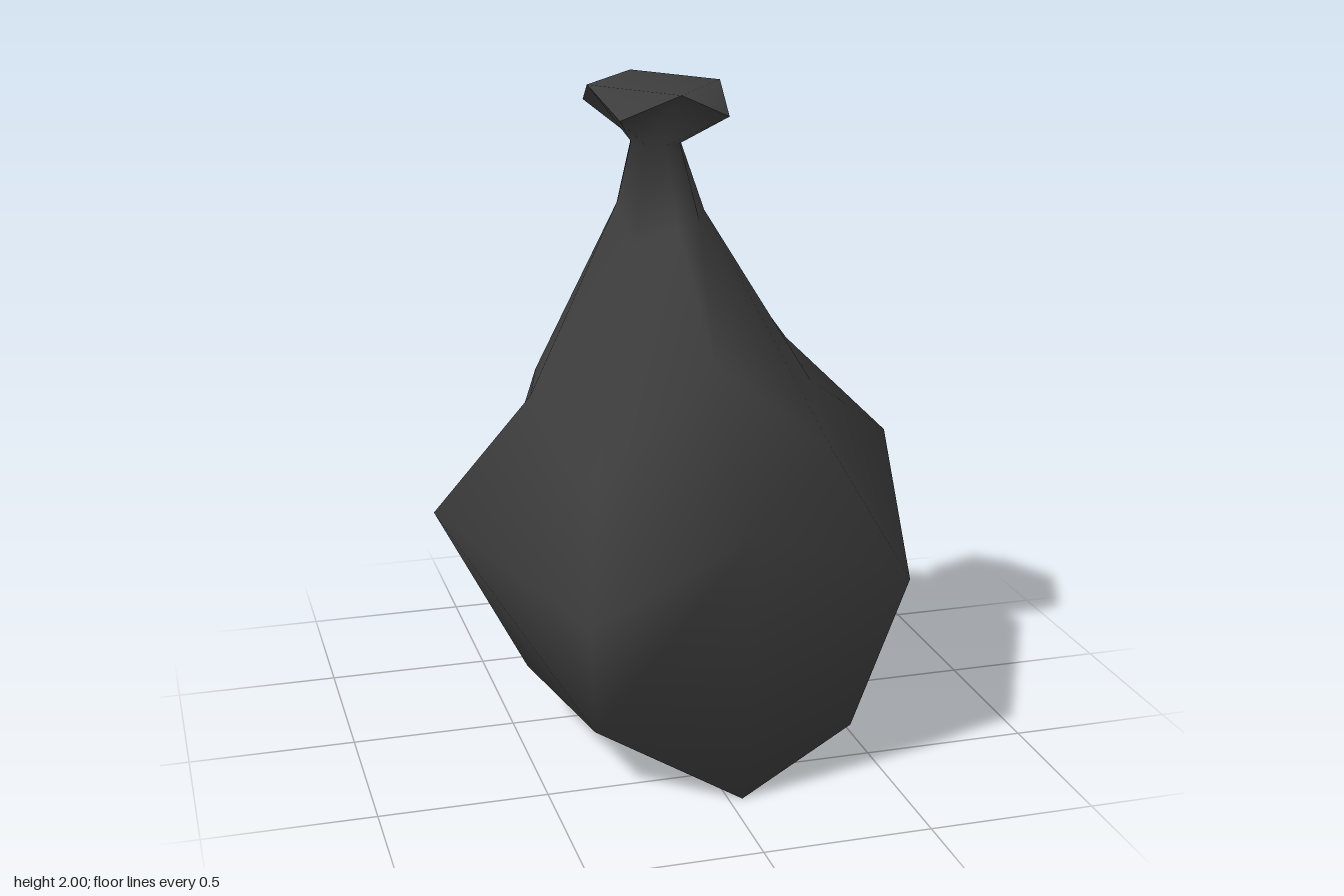
import * as THREE from 'three';

const SIDES = 8;

// Rings run clockwise seen from above: back, back-left, left, front-left, front, front-right, right, back-right
const oval = (y, cx, cz, rx, rz) => Array.from({ length: SIDES }, (_, i) => {
  const a = (i / SIDES) * Math.PI * 2;
  return [cx + rx * Math.sin(a), y, cz - rz * Math.cos(a)];
});

// Flared lip: the diagonal corners droop below the four main points
const lip = [
  [-0.035, 2, -0.275], [0.125, 1.925, -0.215], [0.165, 2, 0.005], [0.125, 1.925, 0.23],
  [-0.035, 2, 0.29], [-0.2, 1.925, 0.23], [-0.24, 2, 0.005], [-0.2, 1.925, -0.215],
];
const neck = oval(1.83, -0.035, 0.01, 0.075, 0.11);
const shoulder = [
  [-0.03, 1.61, -0.21], [0.1, 1.615, -0.13], [0.12, 1.61, 0], [0.07, 1.6, 0.12],
  [-0.03, 1.61, 0.23], [-0.135, 1.54, 0.13], [-0.15, 1.65, 0], [-0.12, 1.6, -0.14],
];
const upper = [
  [0.04, 1.23, -0.495], [0.54, 1.07, -0.44], [0.47, 1.05, 0], [0.4, 0.95, 0.4],
  [0, 1.27, 0.52], [-0.34, 0.92, 0.475], [-0.43, 1.08, 0.03], [-0.33, 1.05, -0.36],
];
const belly = [
  [0.04, 0.86, -0.795], [0.5, 0.695, -0.69], [0.73, 0.86, -0.02], [0.585, 0.59, 0.58],
  [0.04, 0.86, 0.795], [-0.4, 0.56, 0.635], [-0.73, 0.73, 0.01], [-0.45, 0.54, -0.52],
];
const foot = [
  [0.04, 0.12, -0.61], [0.44, 0.18, -0.53], [0.53, 0.115, 0], [0.435, 0.11, 0.515],
  [0.04, 0, 0.68], [-0.36, 0.19, 0.52], [-0.45, 0.19, 0], [-0.34, 0.19, -0.555],
];

function build(points, index) {
  const g = new THREE.BufferGeometry();
  g.setAttribute('position', new THREE.Float32BufferAttribute(points.flat(), 3));
  g.setIndex(index);
  g.computeVertexNormals();
  return g;
}

// Smooth skin through the rings, closed by a fan under the bag
function sackGeometry() {
  const rings = [lip, neck, shoulder, upper, belly, foot];
  const points = [...rings.flat(), [0.04, 0, 0]];
  const last = (rings.length - 1) * SIDES;
  const index = [];
  for (let j = 0; j < SIDES; j++) {
    const k = (j + 1) % SIDES;
    for (let a = 0; a < last; a += SIDES) {
      const b = a + SIDES;
      // The lowest band folds along alternating diagonals
      if (b === last && j % 2) index.push(a + j, a + k, b + j, a + k, b + k, b + j);
      else index.push(a + j, a + k, b + k, a + j, b + k, b + j);
    }
    index.push(points.length - 1, last + j, last + k);
  }
  return build(points, index);
}

// Diamond on top with four drooping corner triangles, softly shaded as one face
function lidGeometry() {
  const index = [0, 6, 4, 0, 4, 2];
  for (let j = 0; j < SIDES; j += 2) index.push((j + 2) % SIDES, j + 1, j);
  return build(lip, index);
}

export function createModel() {
  const plastic = new THREE.MeshStandardMaterial({ color: 0x3d3d3d });
  plastic.name = 'dark grey plastic';

  const group = new THREE.Group();
  group.name = 'tiedBag';
  const add = (name, geometry) => {
    const mesh = new THREE.Mesh(geometry, plastic);
    mesh.name = name;
    group.add(mesh);
  };
  add('sack', sackGeometry());
  add('gatheredTop', lidGeometry());
  return group;
}
